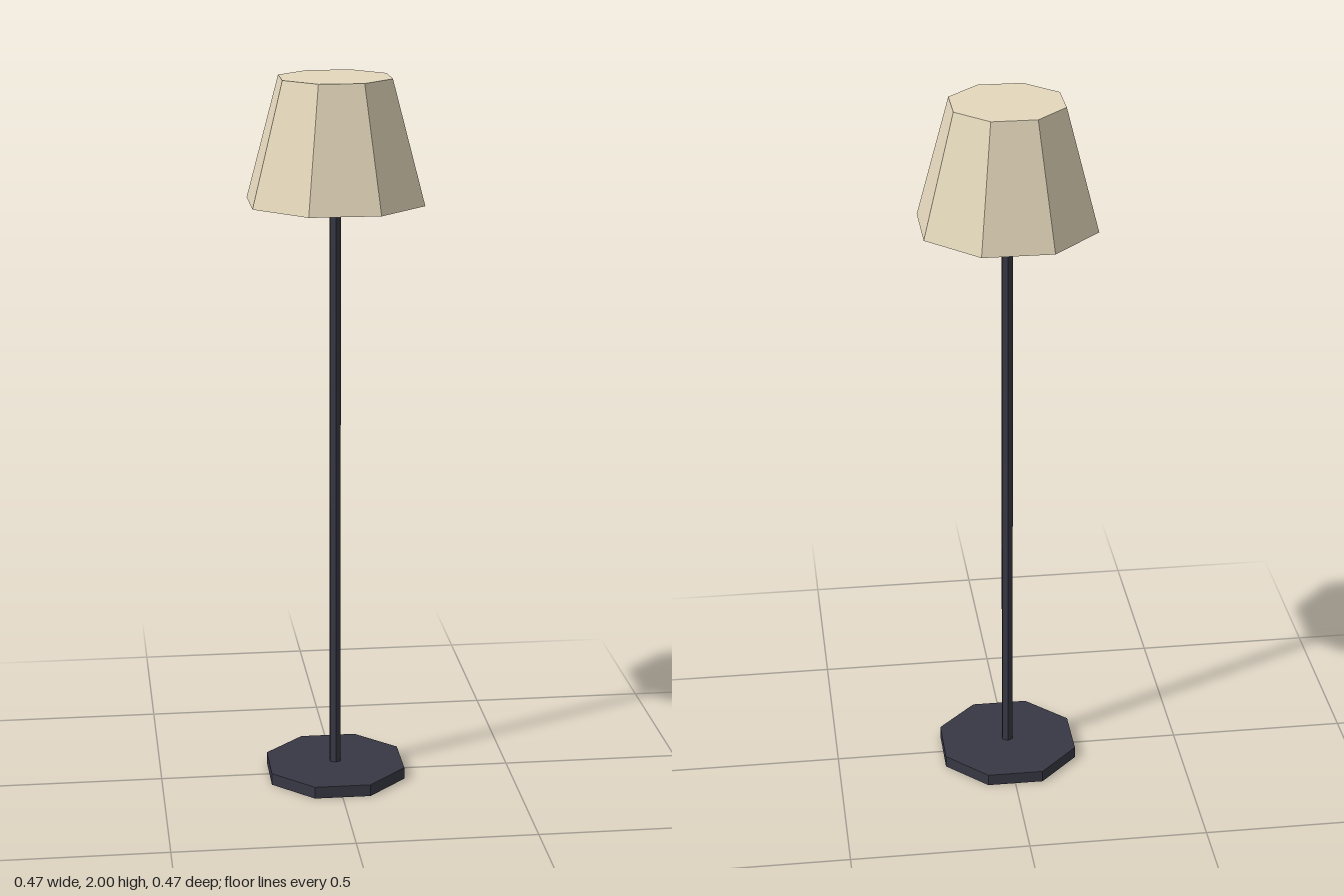
import * as THREE from 'three';

export function createModel() {
  const lamp = new THREE.Group();
  lamp.name = 'floorLamp';

  const darkMetal = new THREE.MeshStandardMaterial({ color: 0x383844, flatShading: true });
  darkMetal.name = 'dark metal';
  const creamFabric = new THREE.MeshStandardMaterial({ color: 0xe4d8bc, flatShading: true });
  creamFabric.name = 'cream fabric';

  // Closed faceted prism or frustum standing between two heights
  function addPrism(name, topRadius, bottomRadius, y0, y1, sides, turn, material) {
    const geometry = new THREE.CylinderGeometry(topRadius, bottomRadius, y1 - y0, sides);
    geometry.rotateY(turn);
    const mesh = new THREE.Mesh(geometry, material);
    mesh.name = name;
    mesh.position.y = (y0 + y1) / 2;
    lamp.add(mesh);
  }

  // Octagons are turned so that flat sides face the axes
  const flat = Math.PI / 8;
  addPrism('base', 0.206, 0.206, 0, 0.034, 8, flat, darkMetal);
  addPrism('pole', 0.017, 0.017, 0.03, 1.67, 6, 0, darkMetal);
  addPrism('shade', 0.16, 0.252, 1.662, 2, 8, flat, creamFabric);

  return lamp;
}
